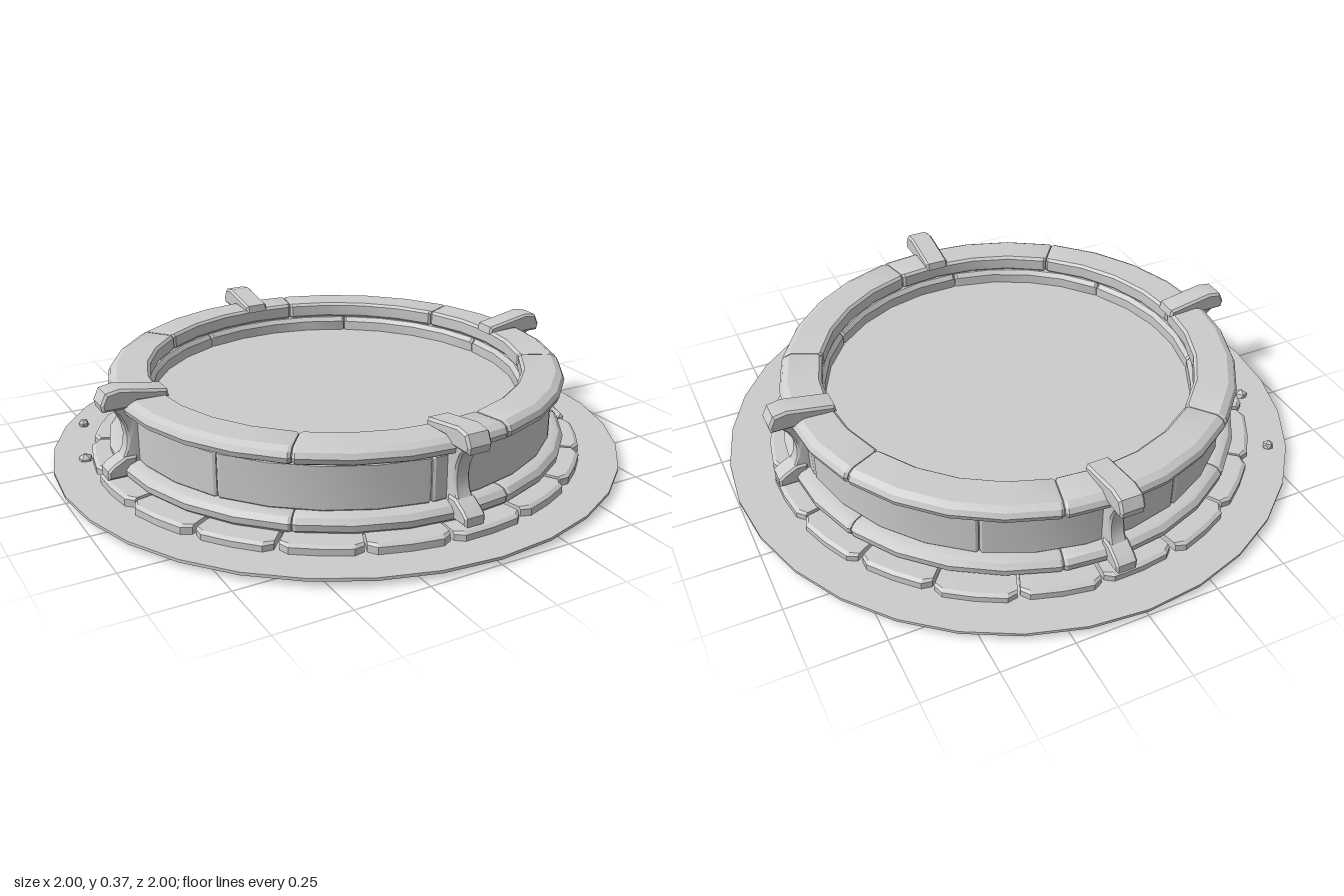
import * as THREE from 'three';
import { toCreasedNormals } from 'three/addons/utils/BufferGeometryUtils.js';

const grey = new THREE.MeshStandardMaterial({ color: 0xcccccc });
const TAU = Math.PI * 2;

let seed = 7;
const rand = () => (seed = (seed * 16807) % 2147483647) / 2147483647;

function addMesh(parent, name, geometry, crease = 0.45) {
  const mesh = new THREE.Mesh(toCreasedNormals(geometry, crease), grey);
  mesh.name = name;
  parent.add(mesh);
  return mesh;
}

// Curved stone: sweeps a convex counter-clockwise [radius, y] profile from angle a0 to a1.
// The end sections shrink by kr and ky over the angle bevel, which chamfers the joints.
function arcStone(profile, a0, a1, steps, bevel, kr, ky) {
  const n = profile.length;
  const cr = profile.reduce((s, p) => s + p[0], 0) / n;
  const cy = profile.reduce((s, p) => s + p[1], 0) / n;
  const rows = [[a0, 1]];
  for (let i = 0; i <= steps; i++) rows.push([a0 + bevel + (a1 - a0 - 2 * bevel) * i / steps, 0]);
  rows.push([a1, 1]);
  const pos = [], index = [];
  for (const [a, end] of rows) {
    for (const [pr, py] of profile) {
      const r = pr + (cr - pr) * kr * end;
      pos.push(r * Math.cos(a), py + (cy - py) * ky * end, r * Math.sin(a));
    }
  }
  for (let i = 0; i < rows.length - 1; i++) {
    for (let j = 0; j < n; j++) {
      const a = i * n + j, b = i * n + (j + 1) % n;
      index.push(a, b, b + n, a, b + n, a + n);
    }
  }
  const last = (rows.length - 1) * n;
  for (let j = 1; j < n - 1; j++) {
    index.push(0, j + 1, j, last, last + j, last + j + 1);
  }
  const g = new THREE.BufferGeometry();
  g.setAttribute('position', new THREE.Float32BufferAttribute(pos, 3));
  g.setIndex(index);
  return g;
}

// Ring of equal stones with narrow joints
function stoneRing(name, profile, count, offset, gap, k) {
  const group = new THREE.Group();
  group.name = name;
  for (let i = 0; i < count; i++) {
    const a = offset + TAU * i / count;
    addMesh(group, name + 'Stone', arcStone(profile, a + gap, a + TAU / count - gap, 4, 0.012, k, k));
  }
  return group;
}

// Bevelled plate cut from a shape in the radius/height plane, centred across its width
function plate(shape, width, bevel) {
  const g = new THREE.ExtrudeGeometry(shape, {
    depth: width - 2 * bevel, bevelThickness: bevel, bevelSize: bevel, bevelOffset: -bevel,
    bevelSegments: 1, curveSegments: 6,
  });
  return g.translate(0, 0, bevel - width / 2);
}
const polygon = pts => new THREE.Shape(pts.map(p => new THREE.Vector2(...p)));

// Clamp gripping the rim: sloped head, waisted post and foot
function makeClamp() {
  const clamp = new THREE.Group();
  clamp.name = 'clamp';
  addMesh(clamp, 'clampHead', plate(polygon([
    [0.64, 0.32], [0.75, 0.325], [0.78, 0.305], [0.865, 0.305],
    [0.87, 0.33], [0.852, 0.367], [0.805, 0.375], [0.645, 0.347],
  ]), 0.086, 0.008));

  const post = new THREE.Shape();
  post.moveTo(0.74, 0.09);
  post.lineTo(0.838, 0.09);
  post.bezierCurveTo(0.765, 0.15, 0.77, 0.25, 0.84, 0.315);
  post.lineTo(0.74, 0.315);
  post.closePath();
  const g = plate(post, 0.054, 0.006);
  const p = g.attributes.position;
  for (let i = 0; i < p.count; i++) {
    const t = (p.getY(i) - 0.2) / 0.11;
    p.setZ(i, p.getZ(i) * (1 + 0.25 * t * t));
  }
  addMesh(clamp, 'clampPost', g);

  addMesh(clamp, 'clampFoot', plate(polygon([
    [0.76, 0.065], [0.862, 0.065], [0.862, 0.095], [0.842, 0.112], [0.8, 0.135], [0.76, 0.135],
  ]), 0.074, 0.007));
  return clamp;
}

export function createModel() {
  const model = new THREE.Group();
  model.name = 'stoneBasin';
  const step = TAU / 7;

  // Ground and filled interior
  addMesh(model, 'ground', new THREE.CylinderGeometry(1, 1, 0.01, 32).translate(0, 0.024, 0));
  addMesh(model, 'waterSurface', new THREE.CircleGeometry(0.67, 32).rotateX(-Math.PI / 2).translate(0, 0.22, 0));

  // Irregular paving around the base
  const paving = new THREE.Group();
  paving.name = 'paving';
  const slabs = 20;
  for (let i = 0; i < slabs; i++) {
    const a = TAU * (i + 0.3) / slabs;
    const r = 0.855 + 0.025 * rand();
    const top = 0.056 + 0.007 * rand();
    const profile = [[0.72, 0.025], [r, 0.025], [r, top - 0.008], [r - 0.012, top], [0.72, top]];
    const end = a + TAU / slabs - 0.008 - 0.012 * rand();
    addMesh(paving, 'pavingSlab', arcStone(profile, a, end, 2, 0.035, 0.32, 0.06), 0.3);
  }
  model.add(paving);

  // Footing, wall and rim, each of seven stones
  model.add(stoneRing('footing', [
    [0.66, 0.05], [0.785, 0.05], [0.802, 0.068], [0.805, 0.09], [0.79, 0.107], [0.77, 0.114], [0.66, 0.114],
  ], 7, step / 2, 0.002, 0.1));
  model.add(stoneRing('wall', [
    [0.642, 0.12], [0.65, 0.11], [0.75, 0.11], [0.756, 0.118], [0.756, 0.262],
    [0.75, 0.27], [0.655, 0.27], [0.642, 0.255],
  ], 7, Math.PI / 4, 0.002, 0.08));
  model.add(stoneRing('rim', [
    [0.65, 0.28], [0.658, 0.272], [0.772, 0.272], [0.79, 0.282], [0.796, 0.3],
    [0.787, 0.317], [0.765, 0.329], [0.66, 0.329], [0.65, 0.32],
  ], 7, step / 2, 0.002, 0.1));

  // Four clamps
  for (let i = 0; i < 4; i++) {
    const clamp = makeClamp();
    clamp.rotation.y = i * Math.PI / 2;
    model.add(clamp);
  }

  // Loose pebbles on the ground
  for (const [x, y, z, s] of [[-0.855, 0.028, -0.24, 0.026], [-0.77, 0.037, -0.53, 0.02]]) {
    const pebble = addMesh(model, 'pebble', new THREE.IcosahedronGeometry(s, 0), 0.1);
    pebble.position.set(x, y, z);
    pebble.rotation.set(0.4, x * 5, 0.3);
  }
  return model;
}
